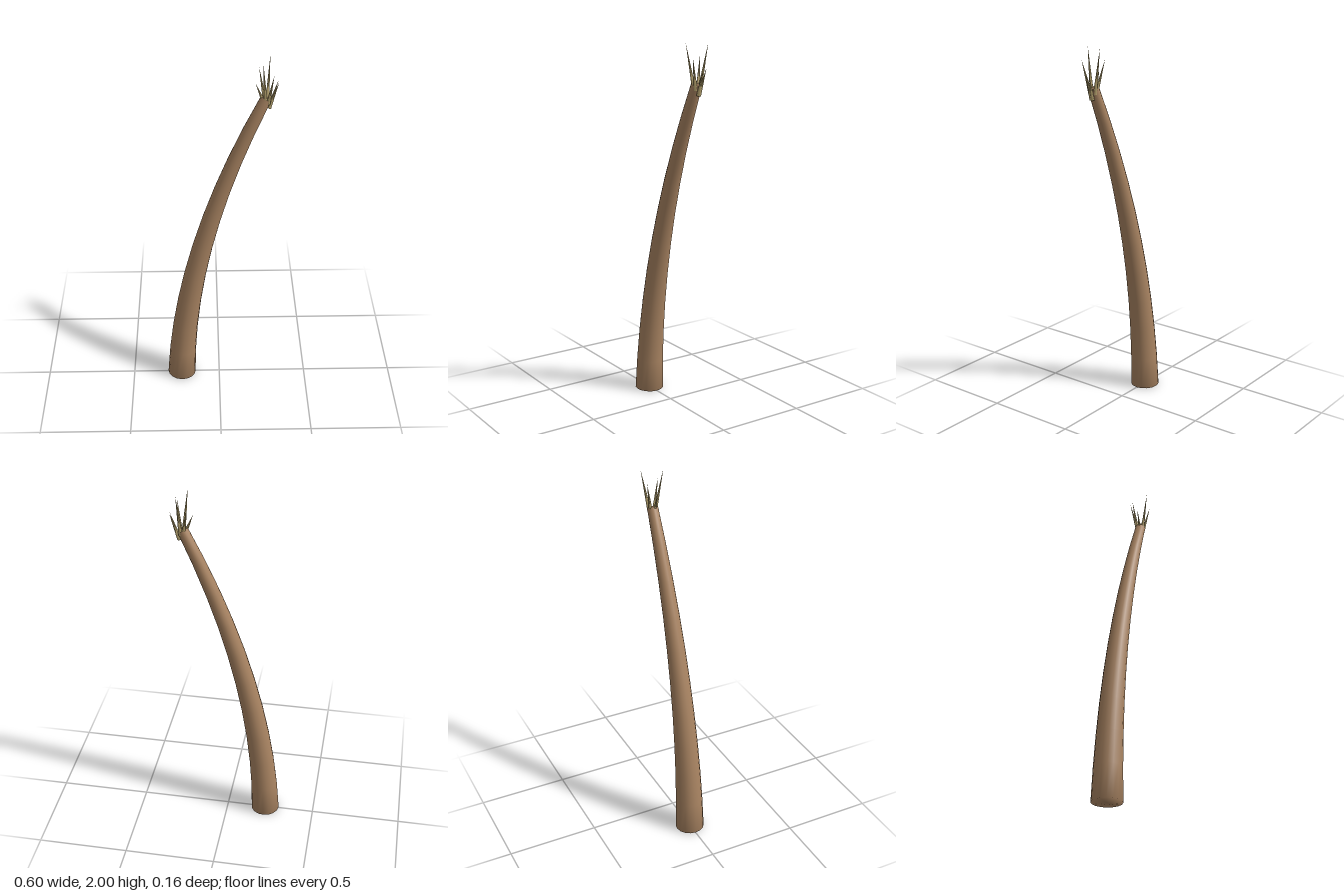
import * as THREE from 'three';

const bark = new THREE.MeshStandardMaterial({ color: 0xa98462 });
bark.name = 'bark brown';
const straw = new THREE.MeshStandardMaterial({ color: 0xb5a26e });
straw.name = 'dry straw';

const SIDES = 16, RINGS = 10;

// Centre line of the leaning trunk and its direction at t = 0..1
const spine = t => new THREE.Vector3(-0.22 + 0.06 * t + 0.395 * t * t, 0.005 + 1.785 * t, 0);
const heading = t => new THREE.Vector3(0.06 + 0.79 * t, 1.785, 0).normalize();

// Tapered tube with rings square to the spine, closed at both ends
function trunkGeometry() {
  const pos = [], index = [];
  for (let i = 0; i <= RINGS; i++) {
    const t = i / RINGS, c = spine(t), d = heading(t), r = 0.08 - 0.051 * t;
    for (let j = 0; j < SIDES; j++) {
      const a = j / SIDES * Math.PI * 2, u = Math.cos(a) * r;
      pos.push(c.x + d.y * u, c.y - d.x * u, Math.sin(a) * r);
    }
  }
  const bottom = pos.length / 3, top = bottom + 1;
  pos.push(...spine(0).toArray(), ...spine(1).addScaledVector(heading(1), 0.008).toArray());
  const last = RINGS * SIDES;
  for (let j = 0; j < SIDES; j++) {
    const k = (j + 1) % SIDES;
    for (let i = 0; i < RINGS; i++) {
      const a = i * SIDES + j, b = i * SIDES + k;
      index.push(a, a + SIDES, b, b, a + SIDES, b + SIDES);
    }
    index.push(bottom, j, k, top, last + k, last + j);
  }
  const g = new THREE.BufferGeometry();
  g.setAttribute('position', new THREE.Float32BufferAttribute(pos, 3));
  g.setIndex(index);
  g.computeVertexNormals();
  return g;
}

// Slim cone from a base point to a tip
function spike(base, tip) {
  const dir = tip.clone().sub(base), length = dir.length();
  const g = new THREE.ConeGeometry(0.0115, length, 6);
  g.translate(0, length / 2, 0);
  const mesh = new THREE.Mesh(g, straw);
  mesh.position.copy(base);
  mesh.quaternion.setFromUnitVectors(new THREE.Vector3(0, 1, 0), dir.normalize());
  return mesh;
}

export function createModel() {
  const model = new THREE.Group();
  model.name = 'bareTree';

  const trunk = new THREE.Mesh(trunkGeometry(), bark);
  trunk.name = 'trunk';
  model.add(trunk);

  // Crown of seven bare spikes fanning out around the trunk tip
  const crown = new THREE.Group();
  crown.name = 'crown';
  const tips = [
    [0.254, 2.0, -0.057], [0.214, 2.0, 0.053],
    [0.199, 1.94, -0.046], [0.269, 1.935, 0.048],
    [0.295, 1.88, -0.018], [0.298, 1.88, 0.002], [0.18, 1.876, 0.007],
  ];
  tips.forEach(([x, y, z], i) => {
    const base = new THREE.Vector3(0.238 + (x - 0.238) * 0.22, x > 0.28 ? 1.738 : 1.765, z * 0.25);
    const s = spike(base, new THREE.Vector3(x, y, z));
    s.name = 'spike' + (i + 1);
    crown.add(s);
  });
  model.add(crown);
  return model;
}
